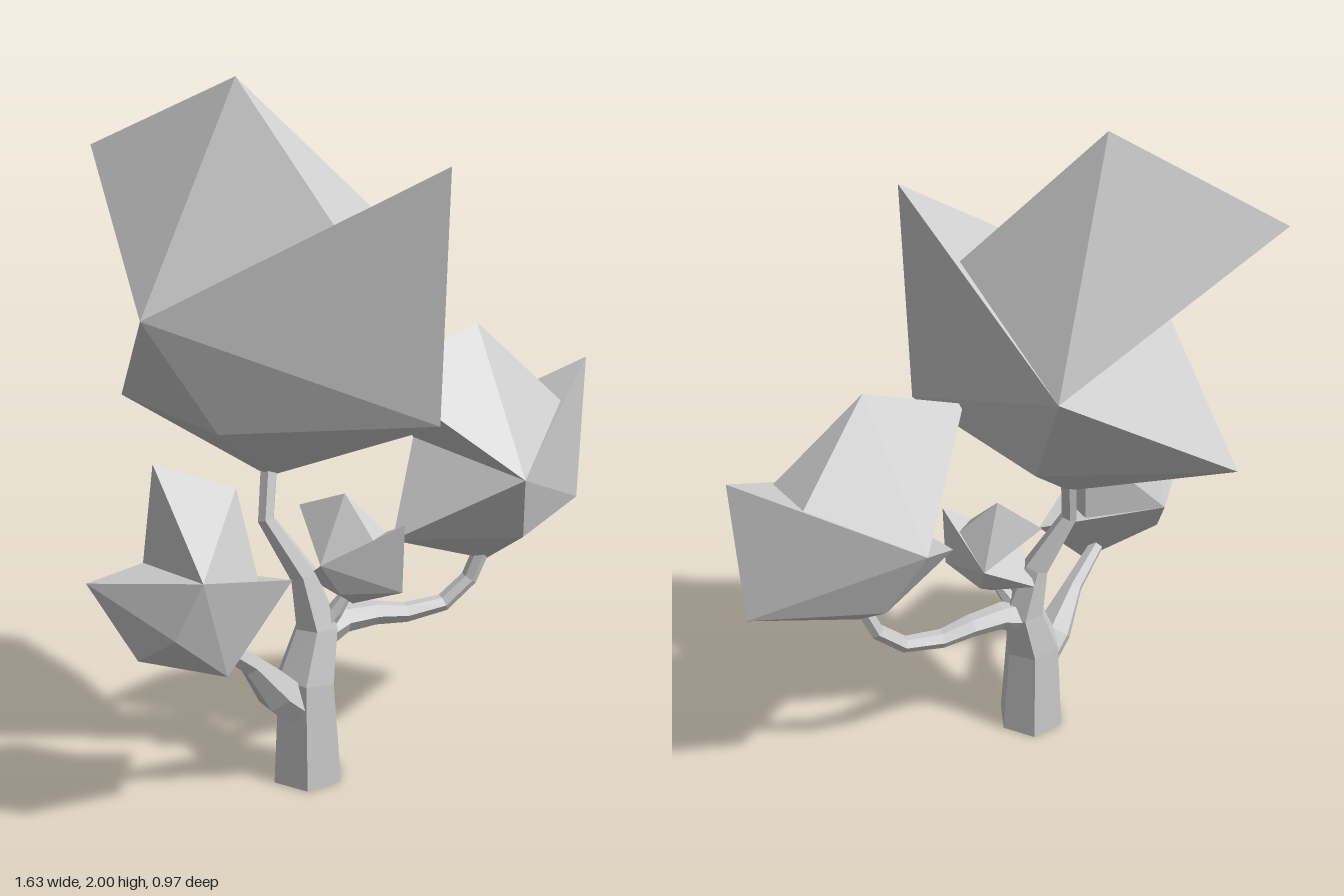
import * as THREE from 'three';
import { ConvexGeometry } from 'three/addons/geometries/ConvexGeometry.js';

const material = new THREE.MeshStandardMaterial({ color: 0xcccccc, flatShading: true });
const vec = (p) => new THREE.Vector3(...p);

function addMesh(parent, name, geometry) {
  const mesh = new THREE.Mesh(geometry, material);
  mesh.name = name;
  parent.add(mesh);
  return mesh;
}

// Six-sided tapered limb; each row is x, y, z, radius
function limb(rows) {
  const curve = new THREE.CatmullRomCurve3(rows.map(([x, y, z]) => new THREE.Vector3(x, y, z)));
  curve.getPointAt = curve.getPoint;
  curve.getTangentAt = curve.getTangent;
  const sides = 6;
  const geometry = new THREE.TubeGeometry(curve, rows.length - 1, 1, sides, false);
  const pos = geometry.attributes.position;
  const v = new THREE.Vector3();
  for (let i = 0; i < pos.count; i++) {
    const [x, y, z, r] = rows[Math.floor(i / (sides + 1))];
    const centre = new THREE.Vector3(x, y, z);
    v.fromBufferAttribute(pos, i).sub(centre).multiplyScalar(r).add(centre);
    pos.setXYZ(i, v.x, v.y, v.z);
  }
  geometry.computeVertexNormals();
  return geometry;
}

// Foliage block: a peaked upper hull set into a spiky lower hull, symmetric in z
const mirrored = (points) => points.flatMap(([x, y, z]) => (z ? [[x, y, z], [x, y, -z]] : [[x, y, z]]));
const hull = (points) => new ConvexGeometry(mirrored(points).map(vec));
const waist = [-0.005, 0, 0.272];
const upperPoints = [[0.02, 0.4, 0], [-0.31, 0.275, 0], waist, [0.27, 0.155, 0.09]];
const lowerPoints = [
  waist, [0.44, 0.255, 0], [0.43, -0.19, 0], [-0.26, -0.21, 0], [0.08, -0.33, 0], [0.08, -0.21, 0.17],
];

function foliage(name, position, scale, rotation) {
  const group = new THREE.Group();
  group.name = name;
  addMesh(group, 'upperLeaves', hull(upperPoints));
  addMesh(group, 'lowerLeaves', hull(lowerPoints));
  group.position.set(...position);
  group.rotation.set(...rotation);
  group.scale.setScalar(scale);
  return group;
}

export function createModel() {
  const tree = new THREE.Group();
  tree.name = 'tree';

  // Trunk running up into the crown stem
  addMesh(tree, 'trunk', limb([
    [-0.128, 0, 0.118, 0.112], [-0.13, 0.31, 0.115, 0.092], [-0.09, 0.46, 0.11, 0.068],
    [-0.125, 0.62, 0.09, 0.042], [-0.222, 0.79, 0.05, 0.026], [-0.19, 0.95, 0.015, 0.026],
  ]));
  const base = addMesh(tree, 'trunkBase', new THREE.CircleGeometry(0.112, 6));
  base.rotation.x = Math.PI / 2;
  base.position.set(-0.128, 0, 0.118);

  // Side branches
  addMesh(tree, 'leftBranch', limb([
    [-0.09, 0.44, 0.11, 0.06], [0.0, 0.465, 0.115, 0.042], [0.1, 0.465, 0.125, 0.036],
    [0.2, 0.45, 0.14, 0.03], [0.32, 0.465, 0.165, 0.026], [0.4, 0.535, 0.185, 0.025],
    [0.44, 0.64, 0.2, 0.025],
  ]));
  addMesh(tree, 'rightBranch', limb([
    [-0.13, 0.2, 0.12, 0.07], [-0.24, 0.3, 0.14, 0.062], [-0.34, 0.42, 0.17, 0.032],
    [-0.46, 0.52, 0.2, 0.024],
  ]));
  addMesh(tree, 'twig', limb([
    [-0.09, 0.46, 0.12, 0.04], [-0.05, 0.51, 0.145, 0.025], [-0.01, 0.58, 0.165, 0.014],
  ]));

  // Foliage blocks
  tree.add(
    foliage('crownFoliage', [-0.255, 1.4, -0.085], 1.5, [0, -1.04, 0]),
    foliage('leftFoliage', [0.37, 0.922, 0.2], 1, [0, 0, 0]),
    foliage('rightFoliage', [-0.58, 0.745, 0.2], 0.71, [-0.17, 0, -0.76]),
    foliage('smallFoliage', [-0.025, 0.68, 0.14], 0.45, [0, -1.04, 0]),
  );
  return tree;
}
